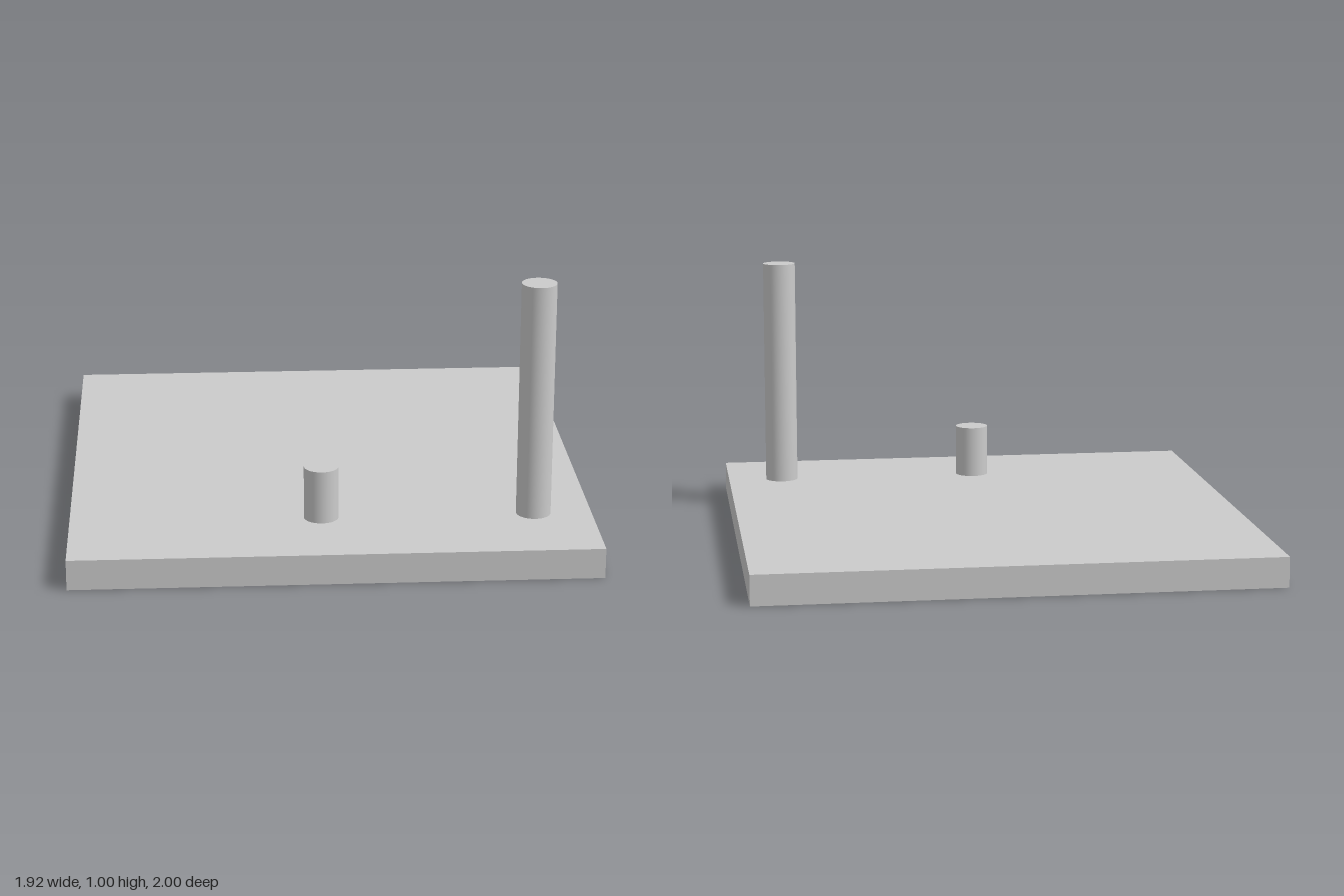
import * as THREE from 'three';

const PLATE = { width: 1.924, height: 0.113, depth: 2 };
const POST_RADIUS = 0.064;
const POST_Z = 0.643;

export function createModel() {
  const model = new THREE.Group();
  model.name = 'plateWithPegs';
  const material = new THREE.MeshStandardMaterial({ color: 0xcccccc });

  // Flat base plate
  const plate = new THREE.Mesh(new THREE.BoxGeometry(PLATE.width, PLATE.height, PLATE.depth), material);
  plate.name = 'basePlate';
  plate.position.y = PLATE.height / 2;
  model.add(plate);

  // Round pegs standing on the plate
  const addPeg = (name, x, top) => {
    const height = top - PLATE.height;
    const peg = new THREE.Mesh(new THREE.CylinderGeometry(POST_RADIUS, POST_RADIUS, height, 48), material);
    peg.name = name;
    peg.position.set(x, PLATE.height + height / 2, POST_Z);
    model.add(peg);
  };
  addPeg('shortPeg', -0.038, 0.313);
  addPeg('tallPeg', 0.747, 1);

  return model;
}
